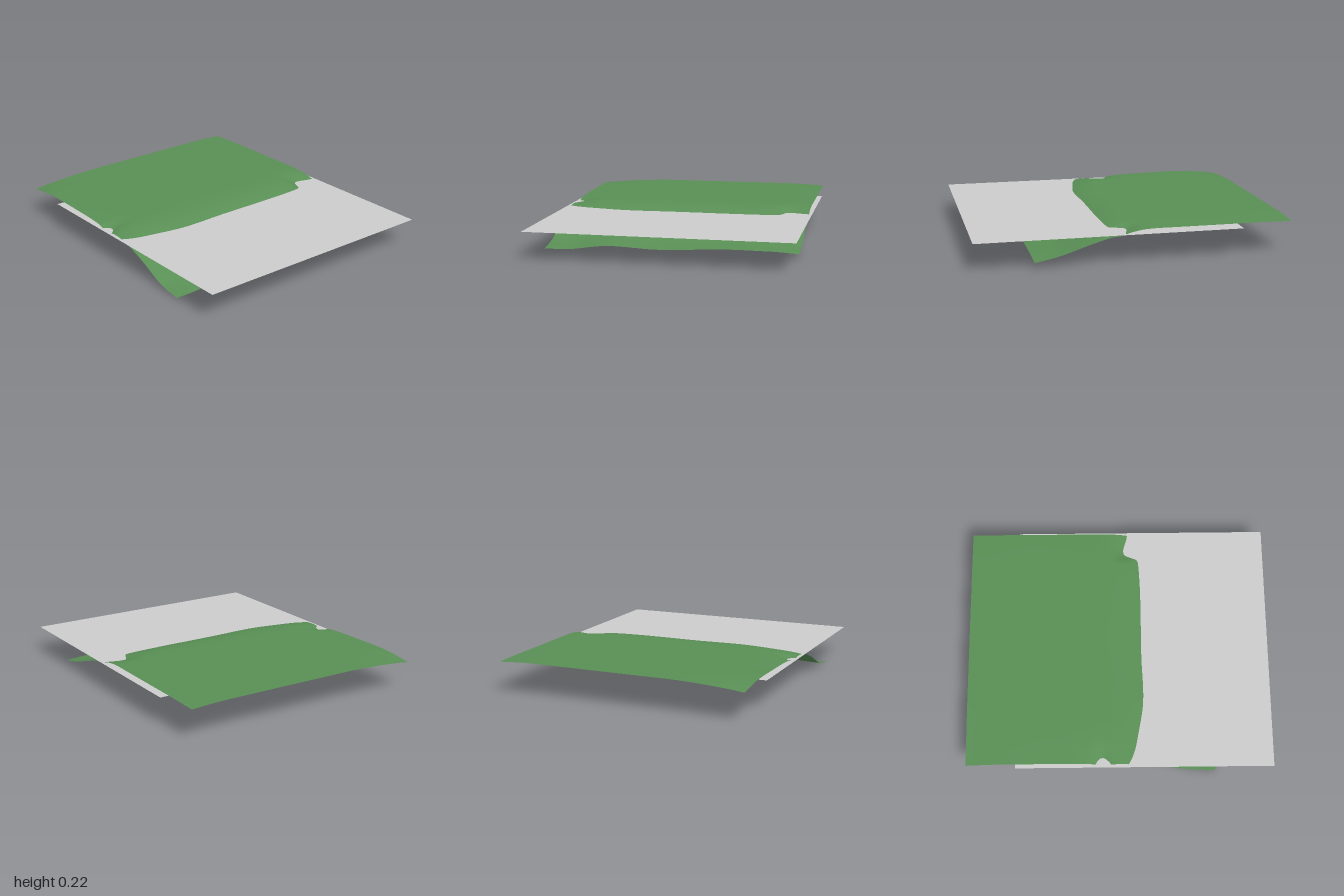
import * as THREE from 'three';

// Heights of the shore: one row per z, one column per x
const XS = [-1, -0.8, -0.5, -0.2, -0.12, -0.04, 0.04, 0.1, 0.16, 0.3, 0.47, 0.63];
const ROWS = [
  [-0.82, [0.207, 0.21, 0.21, 0.21, 0.21, 0.205, 0.19, 0.172, 0.165, 0.125, 0.07, 0.036]],
  [-0.68, [0.215, 0.217, 0.216, 0.218, 0.217, 0.207, 0.182, 0.176, 0.176, 0.13, 0.073, 0.044]],
  [-0.6, [0.217, 0.219, 0.216, 0.218, 0.218, 0.214, 0.203, 0.19, 0.177, 0.131, 0.074, 0.045]],
  [-0.35, [0.217, 0.218, 0.214, 0.218, 0.219, 0.217, 0.209, 0.197, 0.179, 0.132, 0.074, 0.045]],
  [0.07, [0.216, 0.215, 0.214, 0.217, 0.218, 0.215, 0.207, 0.196, 0.179, 0.125, 0.06, 0.025]],
  [0.4, [0.214, 0.216, 0.216, 0.217, 0.217, 0.215, 0.208, 0.198, 0.181, 0.128, 0.066, 0.035]],
  [0.66, [0.2, 0.212, 0.213, 0.212, 0.209, 0.21, 0.2, 0.186, 0.166, 0.113, 0.037, 0.003]],
  [0.815, [0.185, 0.207, 0.207, 0.196, 0.17, 0.185, 0.184, 0.174, 0.158, 0.105, 0.03, 0.002]],
];
const ZS = ROWS.map((r) => r[0]);

// Smooth curve through unevenly spaced points
function spline(ts, vs, t) {
  const n = ts.length;
  let i = 0;
  while (i < n - 2 && t > ts[i + 1]) i++;
  const slope = (k) => {
    const a = Math.max(k - 1, 0), b = Math.min(k + 1, n - 1);
    return (vs[b] - vs[a]) / (ts[b] - ts[a]);
  };
  const h = ts[i + 1] - ts[i];
  const u = THREE.MathUtils.clamp((t - ts[i]) / h, 0, 1);
  const u2 = u * u, u3 = u2 * u;
  return (2 * u3 - 3 * u2 + 1) * vs[i] + (u3 - 2 * u2 + u) * h * slope(i)
    + (3 * u2 - 2 * u3) * vs[i + 1] + (u3 - u2) * h * slope(i + 1);
}

function height(x, z) {
  return Math.max(0, spline(ZS, ROWS.map((r) => spline(XS, r[1], x)), z));
}

// Flat sheet lying between two x and two z limits
function sheet(x0, x1, z0, z1, segments) {
  const g = new THREE.PlaneGeometry(x1 - x0, z1 - z0, segments, segments);
  g.rotateX(-Math.PI / 2);
  g.translate((x0 + x1) / 2, 0, (z0 + z1) / 2);
  return g;
}

export function createModel() {
  const group = new THREE.Group();
  group.name = 'shore';
  const grass = new THREE.MeshStandardMaterial({ color: 0x598f55, side: THREE.DoubleSide });
  grass.name = 'grassGreen';
  const grey = new THREE.MeshStandardMaterial({ color: 0xcccccc, side: THREE.DoubleSide });
  grey.name = 'waterGrey';

  // Rolling ground that slopes down under the water
  const ground = sheet(-1, 0.63, -0.82, 0.815, 90);
  const p = ground.attributes.position;
  for (let i = 0; i < p.count; i++) p.setY(i, height(p.getX(i), p.getZ(i)));
  ground.computeVertexNormals();
  const terrain = new THREE.Mesh(ground, grass);
  terrain.name = 'terrain';
  group.add(terrain);

  // Level water surface
  const water = new THREE.Mesh(sheet(-0.68, 1, -0.84, 0.835, 1), grey);
  water.name = 'water';
  water.position.y = 0.182;
  group.add(water);

  return group;
}
